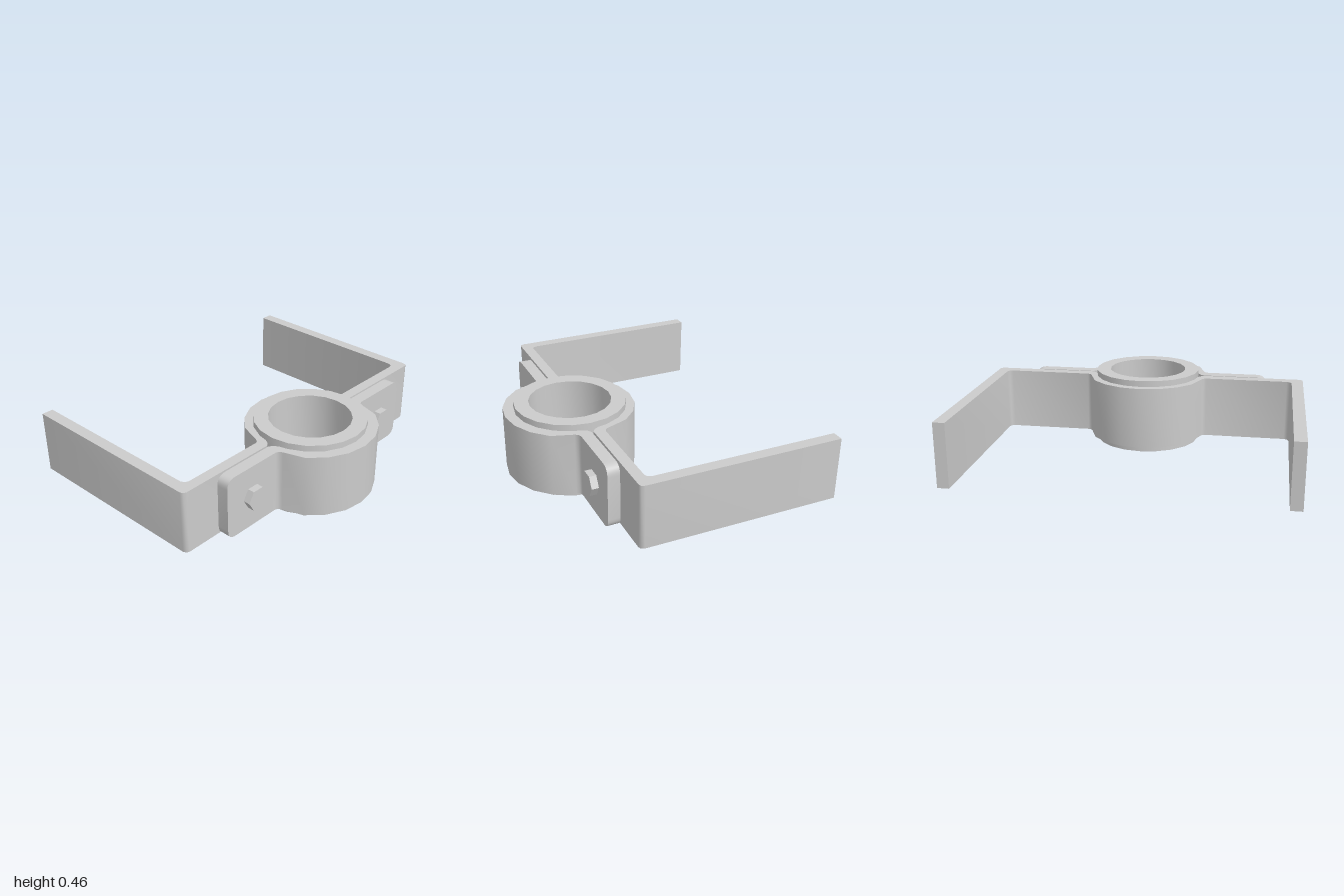
import * as THREE from 'three';
import { toCreasedNormals } from 'three/addons/utils/BufferGeometryUtils.js';

const CZ = 0.408;              // z of the ring axis
const BASE = 0.042, TALL = 0.383; // height span of the clamp straps
const BORE = 0.333;            // radius where the straps grip the bushing

export function createModel() {
  const group = new THREE.Group();
  const mat = new THREE.MeshStandardMaterial({ color: 0xcccccc });
  const add = (name, geo) => {
    const mesh = new THREE.Mesh(toCreasedNormals(geo, 1.0), mat);
    mesh.name = name;
    group.add(mesh);
    return mesh;
  };

  // Points of a quarter ring, 20 sides to the full circle, ending on the axis x = 0
  const arc = (r, first) => {
    const pts = [];
    for (let i = first; i <= 5; i++) {
      const a = i * Math.PI / 10;
      pts.push([i === 5 ? 0 : r * Math.cos(a), r * Math.sin(a)]);
    }
    return pts;
  };
  const mirror = (pts) => [...pts, ...pts.slice(0, -1).reverse().map(([x, d]) => [-x, d])];

  // Symmetric strap bent around the bushing; d is the distance from the split plane
  const strap = (name, side, innerEnd, outerEnd, d0, d1, r) => {
    const inner = mirror([...innerEnd, [0.37, d0], [0.345, d0 + 0.016], [0.329, d0 + 0.045], ...arc(BORE, 1)]);
    const outer = mirror([...outerEnd, [0.39, d1], [0.371, d1 + 0.008], [0.36, d1 + 0.027], ...arc(r, 2)]);
    const outline = [...inner, ...outer.reverse()].map(([x, d]) => new THREE.Vector2(x, side * d - CZ));
    const geo = new THREE.ExtrudeGeometry(new THREE.Shape(outline), { depth: TALL, bevelEnabled: false });
    geo.rotateX(-Math.PI / 2).translate(0, BASE, 0);
    add(name, geo);
  };

  // Rear strap with the two long arms
  strap('rearBracket', 1,
    [[1, 1.213], [1, 0.03], [0.993, 0.01], [0.975, 0.003]],
    [[0.93, 1.213], [0.93, 0.1], [0.921, 0.077], [0.9, 0.068]],
    0.003, 0.068, 0.383);

  // Front strap, its ends continued by the rounded tabs
  strap('frontClamp', -1, [[0.45, 0.008]], [[0.45, 0.08]], 0.008, 0.08, 0.397);

  // Bushing
  const profile = [[0.245, 0], [BORE, 0], [BORE, 0.462], [0.245, 0.462], [0.245, 0]];
  const bushing = new THREE.LatheGeometry(profile.map(([x, y]) => new THREE.Vector2(x, y)), 20);
  add('bushing', bushing.translate(0, 0, CZ));

  for (const s of [1, -1]) {
    const label = s > 0 ? 'left' : 'right';

    // Clamp tab with rounded outer corners
    const x0 = 0.45, x1 = 0.768, y1 = BASE + TALL, r = 0.06;
    const tab = new THREE.Shape();
    tab.moveTo(s * x0, BASE);
    tab.lineTo(s * (x1 - r), BASE);
    tab.quadraticCurveTo(s * x1, BASE, s * x1, BASE + r);
    tab.lineTo(s * x1, y1 - r);
    tab.quadraticCurveTo(s * x1, y1, s * (x1 - r), y1);
    tab.lineTo(s * x0, y1);
    const tabGeo = new THREE.ExtrudeGeometry(tab, { depth: 0.072, bevelEnabled: false, curveSegments: 6 });
    add(label + 'Tab', tabGeo.translate(0, 0, CZ + 0.008));

    // Hexagonal bolt head
    const head = new THREE.CylinderGeometry(0.07, 0.07, 0.05, 6).rotateY(Math.PI / 6).rotateX(Math.PI / 2);
    const bolt = new THREE.Mesh(toCreasedNormals(head, 0.5), mat);
    bolt.name = label + 'BoltHead';
    bolt.position.set(s * 0.575, 0.235, 0.505);
    group.add(bolt);
  }
  return group;
}
